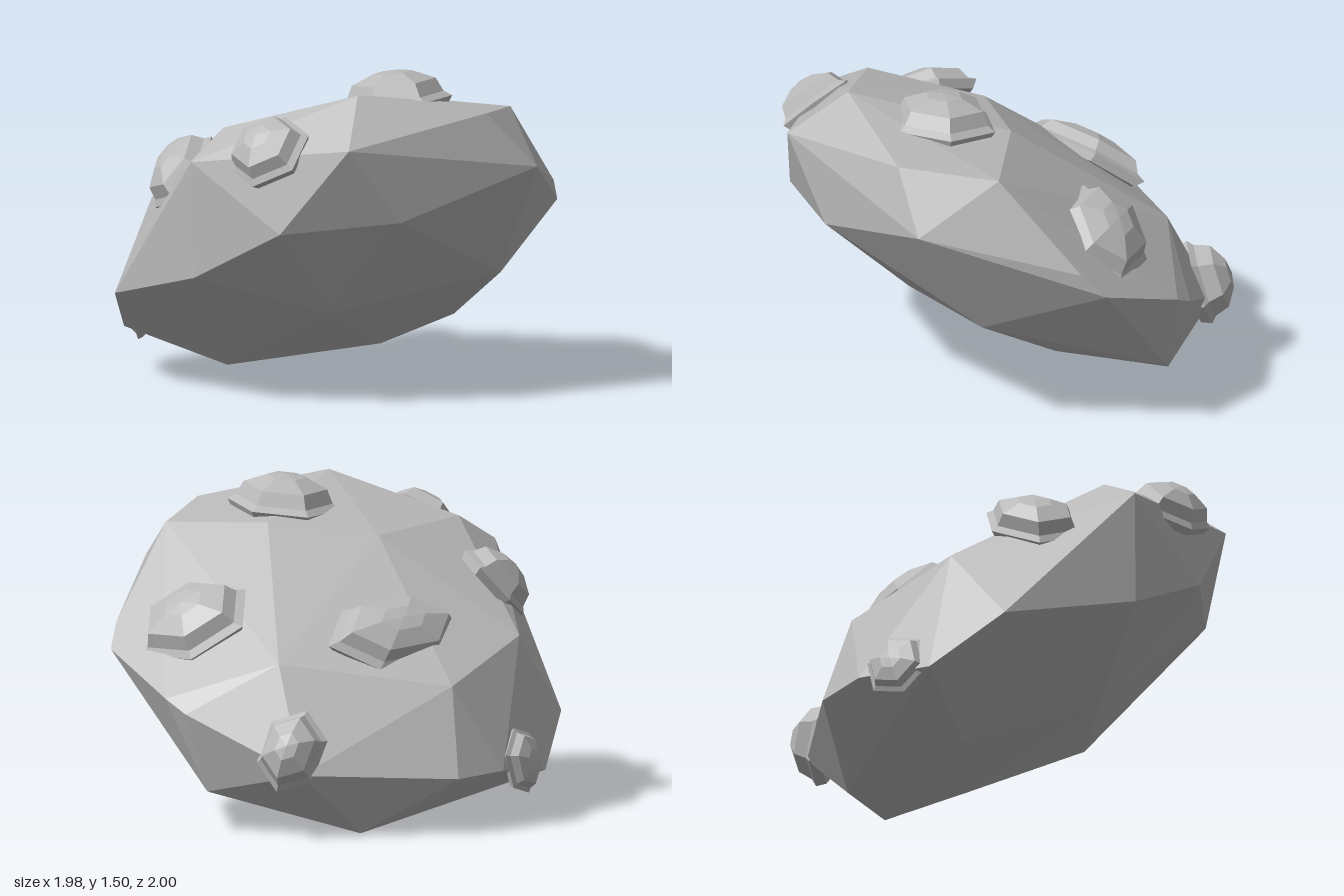
import * as THREE from 'three';
import { ConvexGeometry } from 'three/addons/geometries/ConvexGeometry.js';

export function createModel() {
  const group = new THREE.Group();
  const stone = new THREE.MeshStandardMaterial({ color: 0xbababa, flatShading: true });
  stone.name = 'grey stone';

  // Boulder: a tilted, flattened faceted hull described by its corners
  const corners = [
    [0.985, 1.09, -0.29], [0.57, 1.46, 0.45], [0.87, 1.35, -0.08], [0.74, 1.25, 0.67],
    [0.04, 1.15, 1.0], [0.05, 0.61, 0.99], [0.02, 1.28, 0.77], [0.48, 0.85, 0.86],
    [-0.59, 0.44, 0.88], [0.64, 0.54, -0.39], [-0.66, 0, -0.36], [-0.45, 0.05, 0.3],
    [0.26, 0.39, 0.34], [-0.04, 0.13, -0.28], [0.62, 1.3, -0.47], [0.5, 0.89, -0.86],
    [0.43, 0.78, -0.95], [-0.03, 0.61, -1.0], [-0.15, 0.18, -0.85], [0.8, 0.89, 0.4],
    [-0.68, 0.83, 0.56], [0.2, 1.32, -0.21], [-0.11, 1.26, 0.19], [-0.41, 0.78, -0.64],
    [-0.87, 0.67, 0.01], [-0.99, 0.26, -0.05], [-0.97, 0.27, 0.23], [-0.82, 0.22, 0.6],
    [-0.66, 0.3, -0.71], [-0.15, 0.55, -0.98],
  ].map((p) => new THREE.Vector3(...p));
  const boulder = new THREE.Mesh(new ConvexGeometry(corners), stone);
  boulder.name = 'boulder';
  group.add(boulder);

  // Knob: six-sided flush skirt, steep wall and a low domed cap
  const profile = [[0, -0.3], [0.9, -0.3], [1, -0.08], [0.86, 0.04], [0.74, 0.36], [0.34, 0.58], [0, 0.63]]
    .map(([r, h]) => new THREE.Vector2(r, h));
  const knobGeometry = new THREE.LatheGeometry(profile, 6);

  // Each knob: point near the surface, outward direction, two radii, height, spin
  const knobs = [
    [[0.39, 1.38, 0.04], [-0.12, 1, 0.02], 0.26, 0.26, 0.2, 0.3],
    [[0.35, 1.2, 0.79], [0.05, 0.7, 0.7], 0.21, 0.2, 0.18, 0.2],
    [[0.13, 0.97, -0.74], [-0.12, 0.77, -0.62], 0.29, 0.25, 0.2, 0.7],
    [[-0.54, 0.9, -0.05], [-0.68, 0.73, -0.06], 0.21, 0.38, 0.17, 0],
    [[-0.3, 0.99, 0.68], [-0.4, 0.65, 0.62], 0.19, 0.26, 0.18, 0.45],
    [[-0.57, 0.4, -0.69], [-0.62, 0.3, -0.72], 0.16, 0.2, 0.22, 0.4],
    [[-0.89, 0.29, 0.42], [-0.88, 0.12, 0.45], 0.16, 0.17, 0.1, 0.2],
  ];
  const up = new THREE.Vector3(0, 1, 0);
  const ray = new THREE.Raycaster();
  knobs.forEach(([at, dir, rx, rz, height, spin], i) => {
    const n = new THREE.Vector3(...dir).normalize();
    // Seat the knob on the boulder surface
    ray.set(new THREE.Vector3(...at).addScaledVector(n, 2), n.clone().negate());
    const knob = new THREE.Mesh(knobGeometry, stone);
    knob.name = 'knob' + (i + 1);
    knob.position.copy(ray.intersectObject(boulder)[0].point);
    knob.quaternion.setFromUnitVectors(up, n)
      .multiply(new THREE.Quaternion().setFromAxisAngle(up, spin));
    knob.scale.set(rx, height, rz);
    group.add(knob);
  });
  return group;
}
